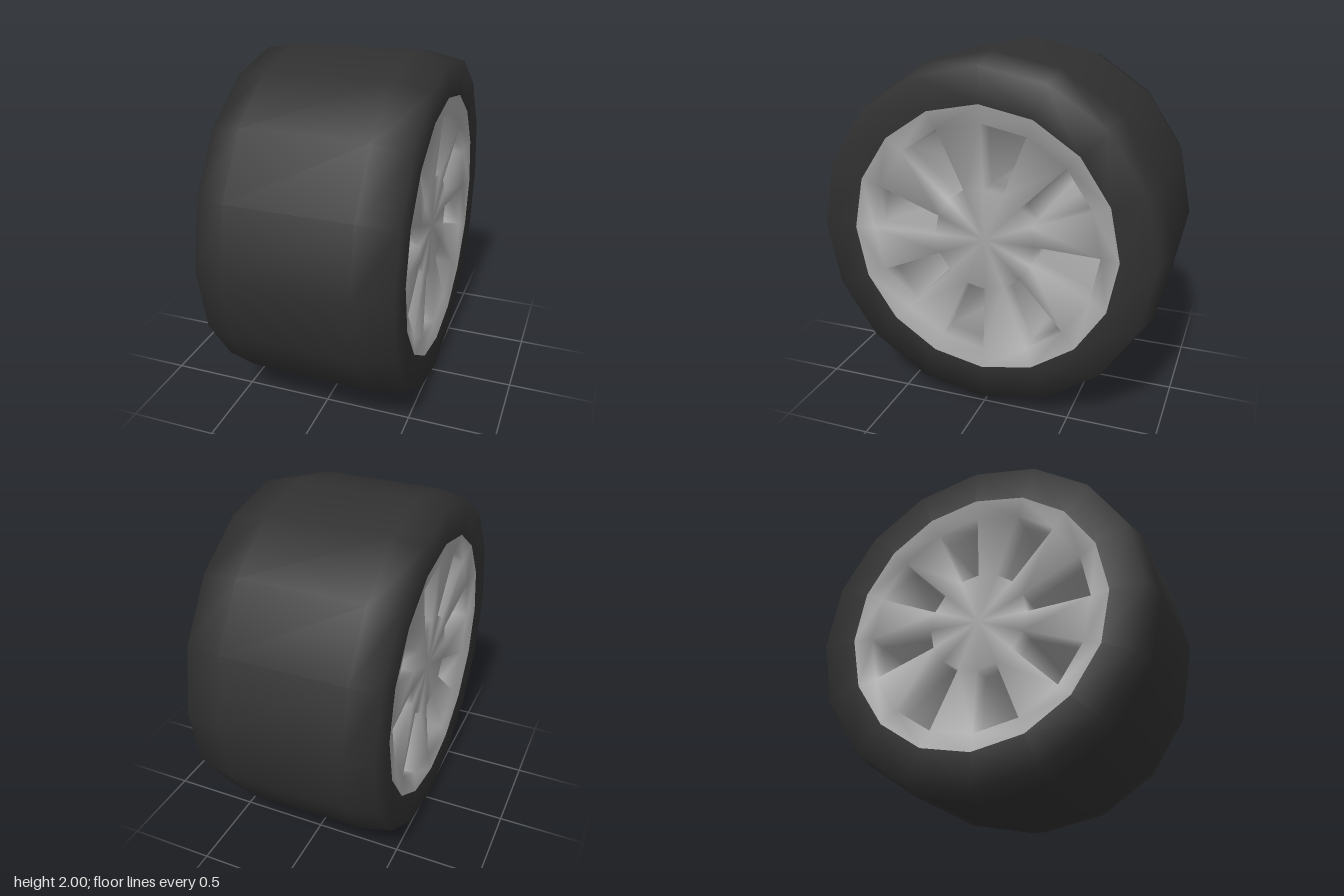
import * as THREE from 'three';

const SIDES = 16;
const tyreMat = new THREE.MeshStandardMaterial({ color: 0x303030 });
tyreMat.name = 'tyreRubber';
const rimMat = new THREE.MeshStandardMaterial({ color: 0xa6a6a6 });
rimMat.name = 'rimMetal';

// Tyre: a 16-sided lathe turned onto the x axis
function makeTyre() {
  const profile = [
    [0.76, -0.53], [0.955, -0.53], [0.99, -0.37],
    [1.0, 0.32], [0.955, 0.53], [0.76, 0.53],
  ].map(([r, x]) => new THREE.Vector2(r, x));
  const geo = new THREE.LatheGeometry(profile, SIDES);
  geo.rotateZ(-Math.PI / 2);
  const tyre = new THREE.Mesh(geo, tyreMat);
  tyre.name = 'tyre';
  return tyre;
}

// Rim: two slightly dished faces joined by eight tunnels between the spokes
function makeRim() {
  // [radius, x]: hub edge, outer hole edge, rim edge, then two rings inside the tunnels
  const rings = [[0.29, 0.475], [0.655, 0.505], [0.76, 0.53], [0.29, 0.355], [0.655, 0.385]];
  const perSide = 1 + rings.length * SIDES;
  const pos = [], index = [];
  for (const side of [1, -1]) {
    pos.push(side * 0.47, 0, 0);
    for (const [r, x] of rings) {
      for (let i = 0; i < SIDES; i++) {
        const a = (i / SIDES) * Math.PI * 2;
        pos.push(side * x, r * Math.cos(a), -r * Math.sin(a));
      }
    }
  }
  const id = (side, ring, i) => (side > 0 ? 0 : perSide) + 1 + ring * SIDES + (i % SIDES);
  const tri = (a, b, c, flip) => index.push(...(flip ? [a, c, b] : [a, b, c]));
  const quad = (a, b, c, d, flip) => { tri(a, b, c, flip); tri(a, c, d, flip); };

  for (let i = 0; i < SIDES; i++) {
    const hole = i % 2 === 0;
    const corners = [[0, i], [0, i + 1], [1, i + 1], [1, i]];
    for (const s of [1, -1]) {
      const flip = s < 0;
      // hub wedge and outer band
      tri(flip ? perSide : 0, id(s, 0, i + 1), id(s, 0, i), flip);
      quad(id(s, 1, i), id(s, 1, i + 1), id(s, 2, i + 1), id(s, 2, i), flip);
      // spoke
      if (!hole) quad(...corners.map(([r, k]) => id(s, r, k)), flip);
    }
    // tunnel walls
    if (hole) {
      corners.forEach(([r, k], n) => {
        const [r2, k2] = corners[(n + 1) % 4];
        for (const s of [1, -1]) {
          quad(id(s, r, k), id(s, r2, k2), id(s, r2 + 3, k2), id(s, r + 3, k), s < 0);
        }
        quad(id(1, r + 3, k), id(1, r2 + 3, k2), id(-1, r2 + 3, k2), id(-1, r + 3, k), false);
      });
    }
  }
  const geo = new THREE.BufferGeometry();
  geo.setAttribute('position', new THREE.Float32BufferAttribute(pos, 3));
  geo.setIndex(index);
  geo.computeVertexNormals();
  const rim = new THREE.Mesh(geo, rimMat);
  rim.name = 'spokedRim';
  return rim;
}

export function createModel() {
  const wheel = new THREE.Group();
  wheel.name = 'wheel';
  wheel.add(makeTyre(), makeRim());
  wheel.children.forEach((part) => { part.position.y = 1; });
  return wheel;
}
